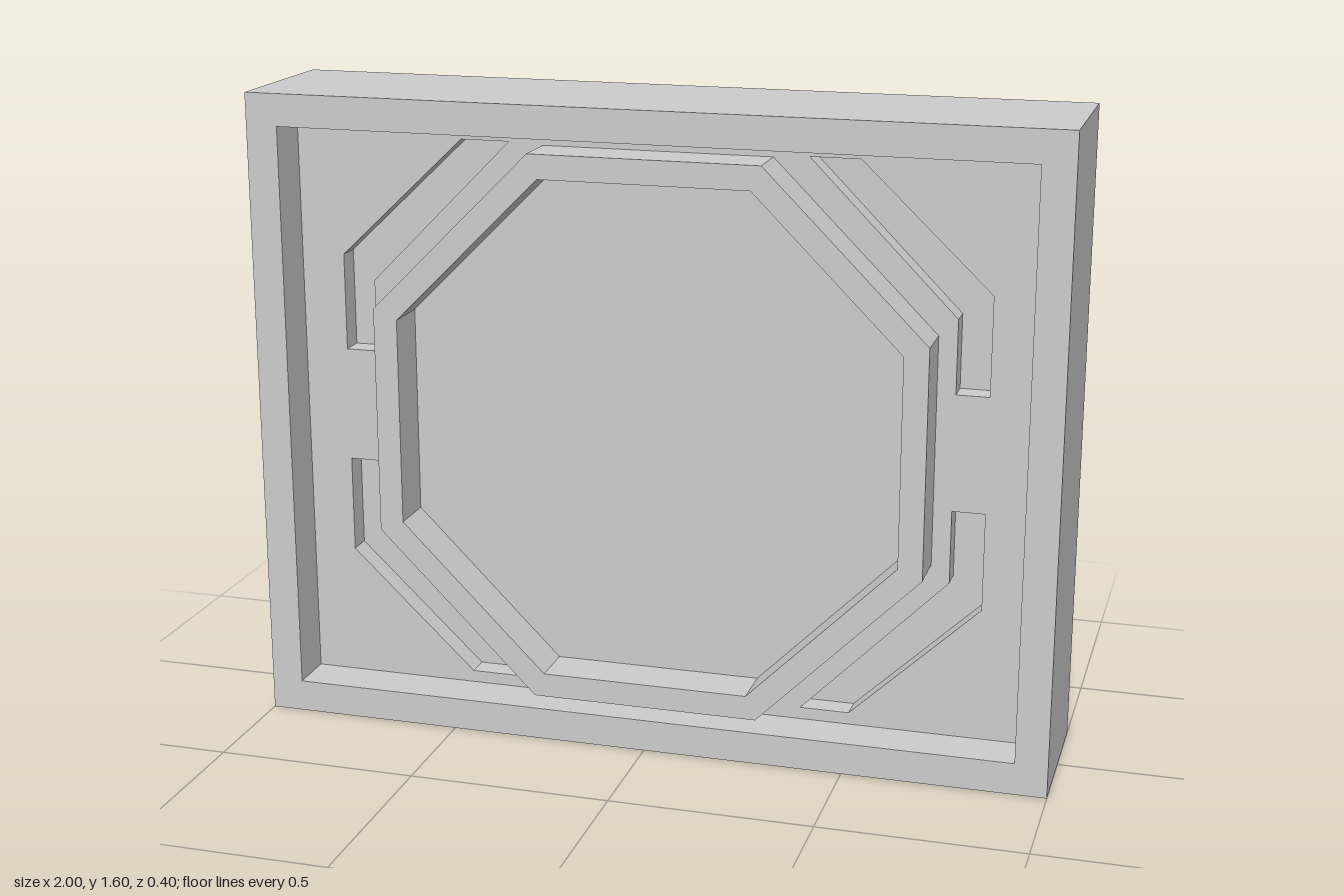
import * as THREE from 'three';
import { mergeGeometries } from 'three/addons/utils/BufferGeometryUtils.js';

// Outlines are counter-clockwise lists of [x, y] about the panel's centre.
const rect = (w, h) => [[-w, -h], [w, -h], [w, h], [-w, h]];

const octagon = (apothem) => Array.from({ length: 8 }, (_, i) => {
  const a = (i + 0.5) * Math.PI / 4, r = apothem / Math.cos(Math.PI / 8);
  return [r * Math.cos(a), r * Math.sin(a)];
});

const toPath = (outline, Type) => new Type(outline.map(([x, y]) => new THREE.Vector2(x, y)));

// Flat face towards +z, with optional holes
function face(outline, z, holes = []) {
  const shape = toPath(outline, THREE.Shape);
  shape.holes = holes.map((h) => toPath(h, THREE.Path));
  const g = new THREE.ShapeGeometry(shape).toNonIndexed();
  g.deleteAttribute('uv');
  return g.translate(0, 0, z);
}

// Straight wall along a closed outline, facing outwards or inwards
function wall(outline, z0, z1, inward = false) {
  const pos = [];
  outline.forEach((p, i) => {
    const q = outline[(i + 1) % outline.length];
    const [a, b] = inward ? [q, p] : [p, q];
    pos.push(...a, z0, ...b, z0, ...b, z1, ...a, z0, ...b, z1, ...a, z1);
  });
  const g = new THREE.BufferGeometry();
  g.setAttribute('position', new THREE.Float32BufferAttribute(pos, 3));
  g.computeVertexNormals();
  return g;
}

export function createModel() {
  const group = new THREE.Group();
  const material = new THREE.MeshStandardMaterial({ color: 0xcccccc, flatShading: true });
  const add = (name, ...parts) => {
    const mesh = new THREE.Mesh(mergeGeometries(parts), material);
    mesh.name = name;
    mesh.position.y = 0.8;
    group.add(mesh);
  };

  const BACK = -0.2, FRONT = 0.2, FLOOR = 0.08, GROOVE = 0.02;
  const outer = rect(1, 0.8), opening = rect(0.92, 0.72);
  const ringOuter = octagon(0.685), ringInner = octagon(0.625);

  // One bent corner groove, mirrored into all four corners
  const bend = [[0.73, 0.144], [0.81, 0.144], [0.81, 0.387], [0.492, 0.69], [0.37, 0.69], [0.73, 0.326]];
  const grooves = [];
  for (const sx of [1, -1]) for (const sy of [1, -1]) {
    const g = bend.map(([x, y]) => [x * sx, y * sy]);
    grooves.push(sx * sy < 0 ? g.reverse() : g);
  }

  // Casing: back, sides, front rim and the inside of the rim
  add('casing',
    face(outer, FRONT, [opening]),
    wall(outer, BACK, FRONT),
    wall(opening, FLOOR, FRONT, true),
    face(outer, -BACK).rotateY(Math.PI));

  // Recessed panel around the ring
  add('recessedPanel', face(opening, FLOOR, [ringOuter, ...grooves]));

  // Octagonal ring rising to the front, and the panel inside it
  add('octagonRing',
    face(ringOuter, FRONT, [ringInner]),
    wall(ringOuter, FLOOR, FRONT),
    wall(ringInner, FLOOR, FRONT, true));
  add('centrePanel', face(ringInner, FLOOR));

  // Corner grooves sunk into the panel
  grooves.forEach((g) => add('cornerGroove', wall(g, GROOVE, FLOOR, true), face(g, GROOVE)));

  return group;
}
